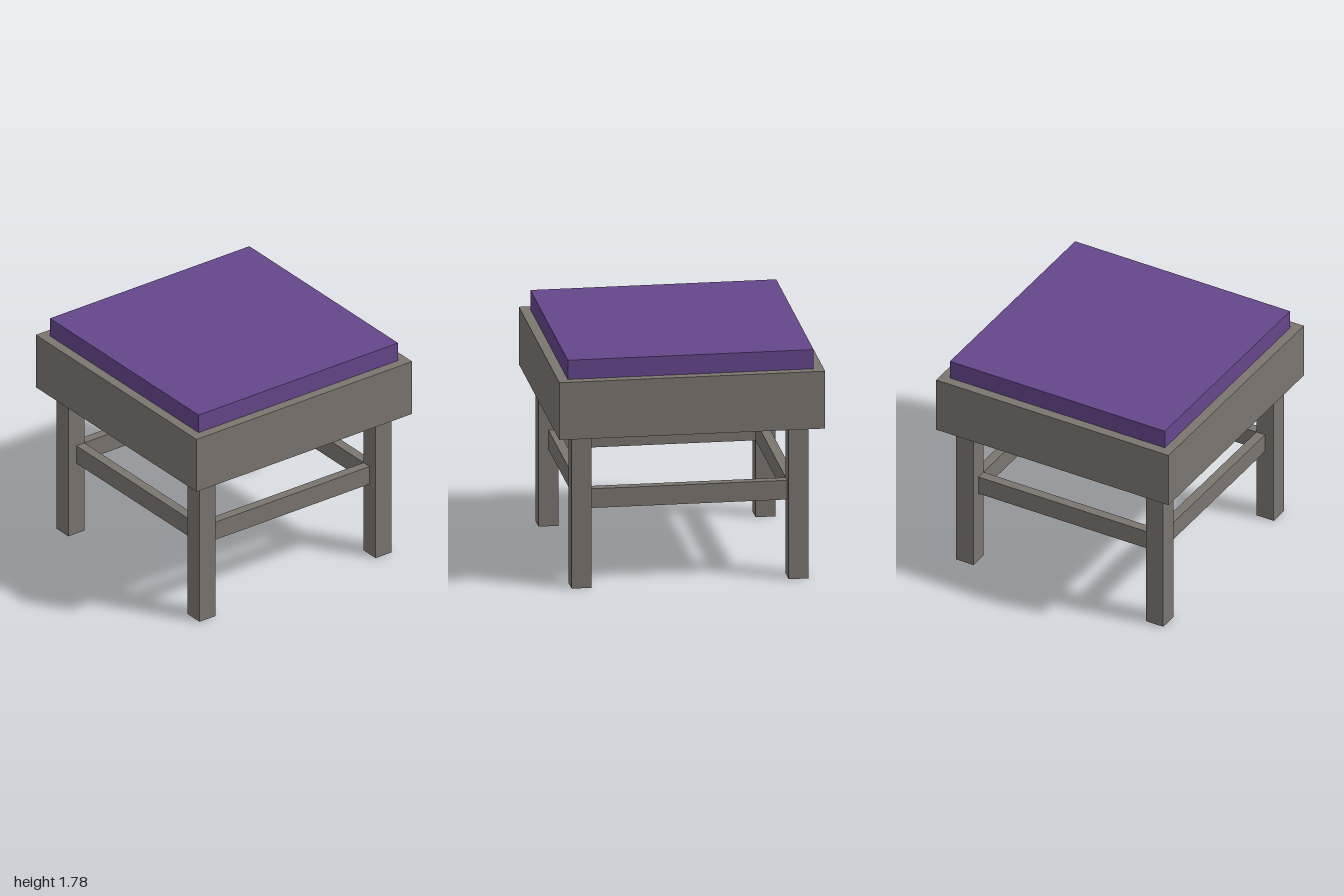
import * as THREE from 'three';

export function createModel() {
  const model = new THREE.Group();
  model.name = 'stool';

  const wood = new THREE.MeshStandardMaterial({ color: 0x7c7570 });
  wood.name = 'grey wood';
  const fabric = new THREE.MeshStandardMaterial({ color: 0x65468b });
  fabric.name = 'purple fabric';

  // Box standing on height y, centred on x and z
  function addBox(name, material, w, h, d, x, y, z) {
    const mesh = new THREE.Mesh(new THREE.BoxGeometry(w, h, d), material);
    mesh.name = name;
    mesh.position.set(x, y + h / 2, z);
    model.add(mesh);
  }

  const legTop = 1.19, seatTop = 1.635;
  const legInner = 0.742, legSize = 0.149, railDepth = legSize / 2;

  // Seat and cushion
  addBox('seatBase', wood, 2, seatTop - legTop, 2, 0, legTop, 0);
  addBox('cushion', fabric, 1.85, 0.149, 1.85, 0, seatTop, 0);

  // Legs
  const legAt = legInner + legSize / 2;
  for (const [front, z] of [['front', legAt], ['back', -legAt]]) {
    for (const [side, x] of [['Left', legAt], ['Right', -legAt]]) {
      addBox(front + side + 'Leg', wood, legSize, legTop, legSize, x, 0, z);
    }
  }

  // Stretchers between the legs, flush with their inner faces
  const railAt = legInner + railDepth / 2;
  const railLength = legInner * 2, railY = 0.597, railHeight = 0.149;
  for (const [name, s] of [['front', 1], ['back', -1]]) {
    addBox(name + 'Stretcher', wood, railLength, railHeight, railDepth, 0, railY, s * railAt);
  }
  for (const [name, s] of [['left', 1], ['right', -1]]) {
    addBox(name + 'Stretcher', wood, railDepth, railHeight, railLength, s * railAt, railY, 0);
  }

  return model;
}
